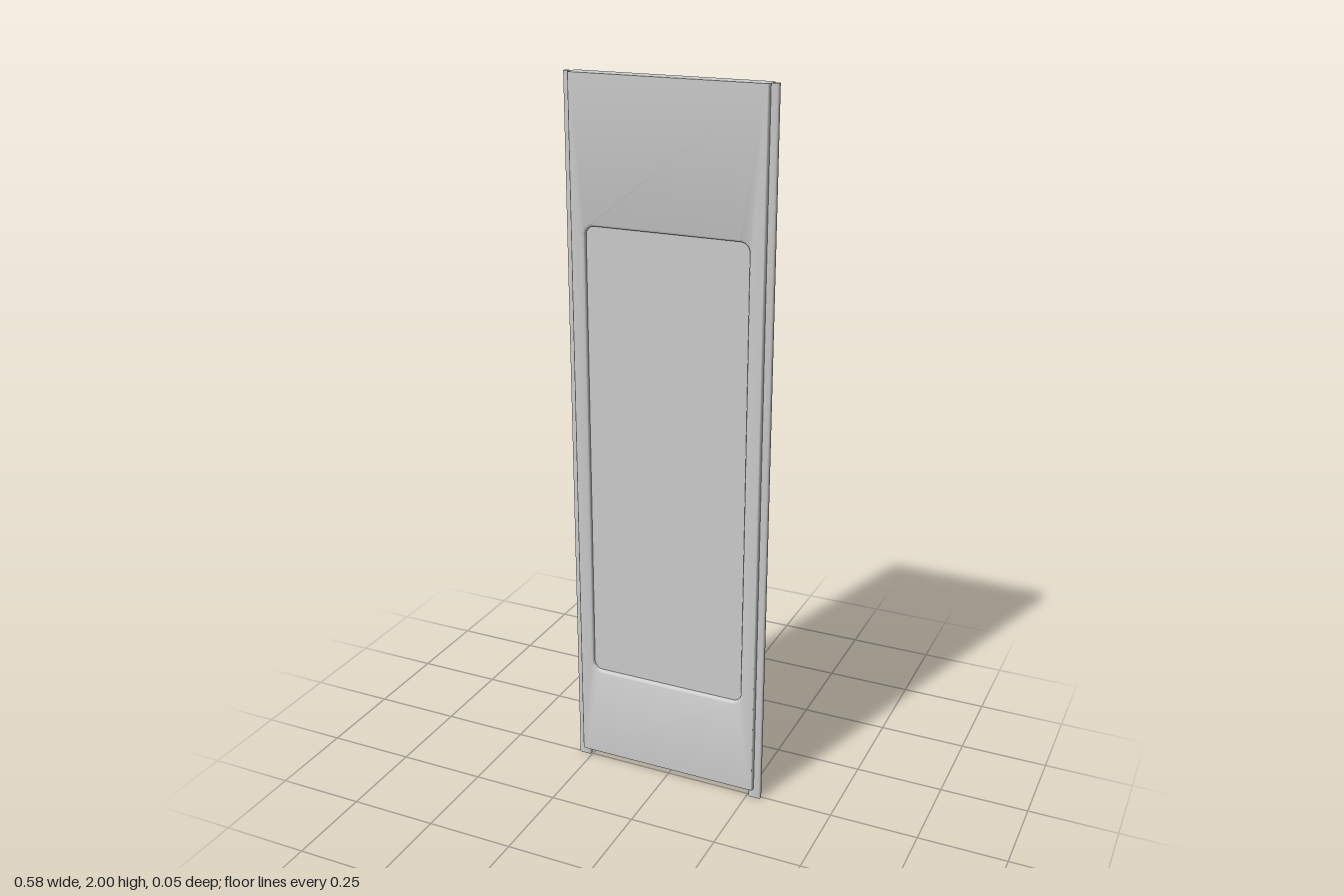
import * as THREE from 'three';
import { toCreasedNormals } from 'three/addons/utils/BufferGeometryUtils.js';

const material = new THREE.MeshStandardMaterial({ color: 0xcccccc });
const HALF_WIDTH = 0.271, HALF_DEPTH = 0.023, BOTTOM = 0.03, TOP = 2, BEVEL = 0.007;

// Rounded rectangle traced into a Shape or Path
function roundedRect(path, x0, y0, x1, y1, r) {
  path.moveTo(x0 + r, y0);
  path.lineTo(x1 - r, y0);
  path.absarc(x1 - r, y0 + r, r, -Math.PI / 2, 0);
  path.lineTo(x1, y1 - r);
  path.absarc(x1 - r, y1 - r, r, 0, Math.PI / 2);
  path.lineTo(x0 + r, y1);
  path.absarc(x0 + r, y1 - r, r, Math.PI / 2, Math.PI);
  path.lineTo(x0, y0 + r);
  path.absarc(x0 + r, y0 + r, r, Math.PI, Math.PI * 1.5);
  return path;
}

function addMesh(group, name, geometry) {
  const mesh = new THREE.Mesh(geometry, material);
  mesh.name = name;
  group.add(mesh);
  return mesh;
}

export function createModel() {
  const group = new THREE.Group();
  group.name = 'doorPanel';

  // Slab with a window opening; long edges and opening rim are rounded over
  const outline = new THREE.Shape();
  outline.moveTo(-HALF_WIDTH, BOTTOM);
  outline.lineTo(HALF_WIDTH, BOTTOM);
  outline.lineTo(HALF_WIDTH, TOP);
  outline.lineTo(-HALF_WIDTH, TOP);
  outline.closePath();
  outline.holes.push(roundedRect(new THREE.Path(), -0.229, 0.307, 0.229, 1.613, 0.025));
  const slab = new THREE.ExtrudeGeometry(outline, {
    depth: 2 * (HALF_DEPTH - BEVEL), bevelThickness: BEVEL, bevelSize: BEVEL,
    bevelOffset: -BEVEL, bevelSegments: 3, curveSegments: 8,
  });
  slab.translate(0, 0, BEVEL - HALF_DEPTH);
  // Square off the top and bottom ends
  const p = slab.attributes.position;
  for (let i = 0; i < p.count; i++) {
    if (p.getY(i) > TOP - 0.02) p.setY(i, TOP);
    if (p.getY(i) < BOTTOM + 0.02) p.setY(i, BOTTOM);
  }
  addMesh(group, 'frame', toCreasedNormals(slab, 0.6));

  // Recessed window pane, sunk deeper at the back
  const pane = new THREE.BoxGeometry(0.464, 1.312, 0.018);
  addMesh(group, 'pane', pane).position.set(0, 0.96, 0.004);

  // Side tongues, slightly staggered in depth, hanging below the slab
  for (const side of [-1, 1]) {
    const section = roundedRect(new THREE.Shape(), -0.018, -0.0073, 0.018, 0.0073, 0.005);
    const tongue = new THREE.ExtrudeGeometry(section, {
      depth: TOP, bevelEnabled: false, curveSegments: 4,
    });
    tongue.rotateX(-Math.PI / 2);
    addMesh(group, side > 0 ? 'leftTongue' : 'rightTongue', toCreasedNormals(tongue, 0.6))
      .position.set(side * 0.273, 0, side * 0.0025);
  }
  return group;
}
